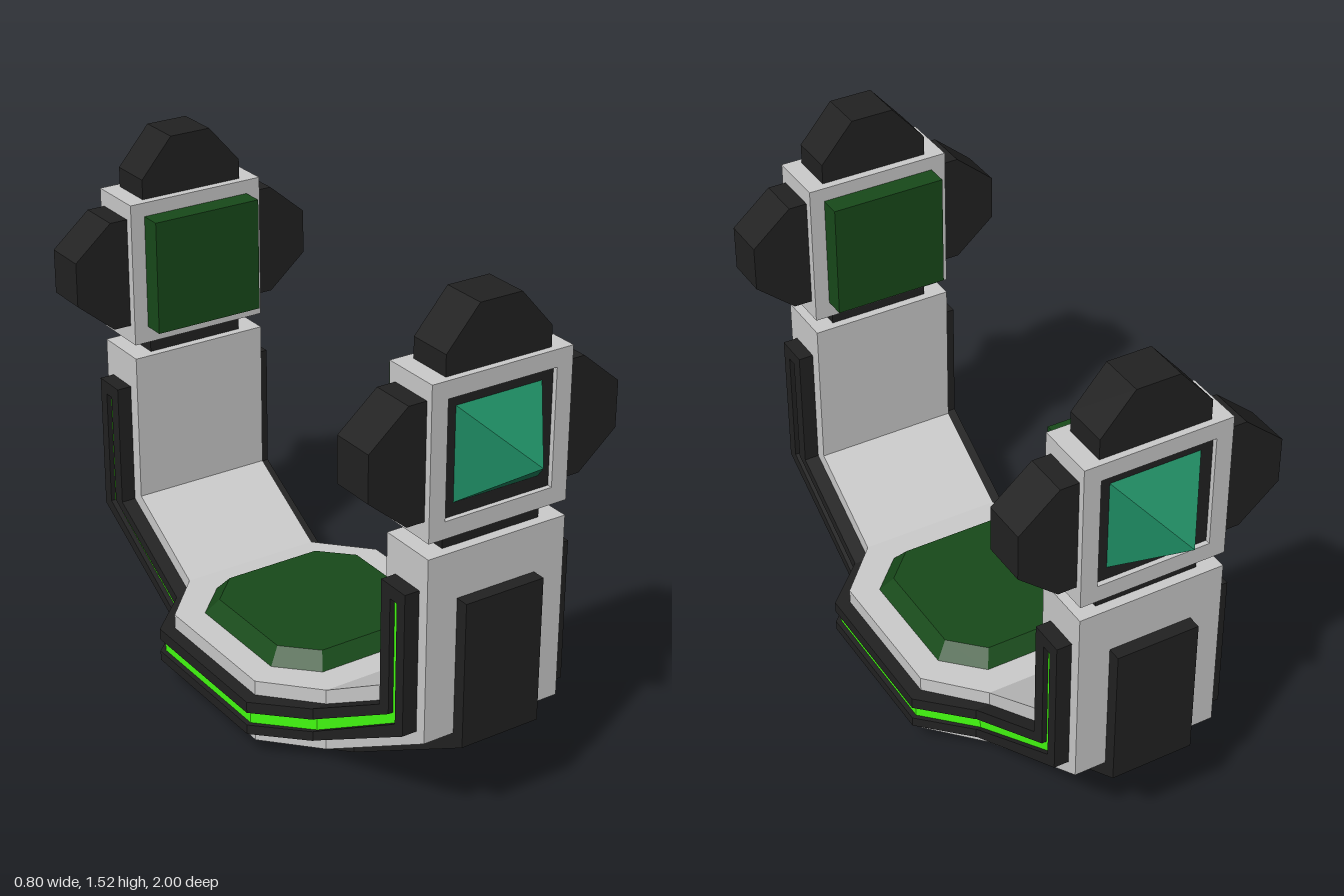
import * as THREE from 'three';

const material = (color) => new THREE.MeshStandardMaterial({ color, flatShading: true });

export function createModel() {
  const grey = material(0xcccccc);
  const black = material(0x222222);
  const green = material(0x184a1a);
  const lime = material(0x44ff11);
  const teal = material(0x1c8860);

  const add = (parent, name, geometry, mat) => {
    const mesh = new THREE.Mesh(geometry, mat);
    mesh.name = name;
    parent.add(mesh);
    return mesh;
  };

  const toShape = (points) => new THREE.Shape(points.map(([a, b]) => new THREE.Vector2(a, b)));
  const extrude = (shape, depth) => new THREE.ExtrudeGeometry(shape, { depth, bevelEnabled: false });

  // Profile given as [z, y], extruded across x from x0 to x1
  const sideProfile = (points, x0, x1) =>
    extrude(toShape(points), x1 - x0).rotateY(-Math.PI / 2).translate(x1, 0, 0);

  // Profile given as [x, y], extruded along z from z0 to z1
  const frontProfile = (points, z0, z1) => extrude(toShape(points), z1 - z0).translate(0, 0, z0);

  // Horizontal octagon: half width w, half length l, corner cut from (w, lz) to (wx, l)
  const octagon = (w, l, wx, lz, y0, y1) =>
    extrude(toShape([[w, -lz], [w, lz], [wx, l], [-wx, l], [-w, lz], [-w, -lz], [-wx, -l], [wx, -l]]), y1 - y0)
      .rotateX(-Math.PI / 2).translate(0, y0, 0);

  const box = (x, y0, y1, z0, z1) =>
    new THREE.BoxGeometry(2 * x, y1 - y0, z1 - z0).translate(0, (y0 + y1) / 2, (z0 + z1) / 2);

  const model = new THREE.Group();
  model.name = 'cradle';

  // Base: stacked octagons with a glowing groove around the rim
  const base = new THREE.Group();
  base.name = 'base';
  model.add(base);
  add(base, 'baseBody', octagon(0.36, 0.37, 0.22, 0.22, 0.045, 0.24), grey);
  add(base, 'bottomPlate', octagon(0.25, 0.37, 0.125, 0.24, 0, 0.046), black);
  add(base, 'lowerRim', octagon(0.4, 0.372, 0.265, 0.24, 0.09, 0.12), black);
  add(base, 'upperRim', octagon(0.4, 0.372, 0.265, 0.24, 0.16, 0.195), black);
  add(base, 'rimLight', octagon(0.385, 0.37, 0.25, 0.235, 0.119, 0.161), lime);

  // Pad with a sloped edge
  const pad = octagon(0.28, 0.285, 0.175, 0.18, 0.24, 0.285);
  const pos = pad.attributes.position;
  for (let i = 0; i < pos.count; i++) {
    if (pos.getY(i) > 0.26) {
      pos.setX(i, pos.getX(i) * 0.87);
      pos.setZ(i, pos.getZ(i) * 0.87);
    }
  }
  pad.computeVertexNormals();
  add(base, 'pad', pad, green);

  // One arm with its head, built toward +z
  const buildArm = () => {
    const arm = new THREE.Group();
    add(arm, 'armBody', sideProfile(
      [[0.37, 0.045], [0.83, 0.315], [0.83, 0.865], [0.65, 0.865], [0.65, 0.405], [0.37, 0.24]], -0.22, 0.22), grey);
    add(arm, 'armOuterPlate', sideProfile(
      [[0.37, 0], [0.87, 0.29], [0.87, 0.725], [0.82, 0.725], [0.82, 0.32], [0.37, 0.055]], -0.125, 0.125), black);

    // Grooved side bands with a light strip in the groove
    const band = [[0.37, 0.09], [0.795, 0.335], [0.795, 0.76], [0.69, 0.76], [0.69, 0.38], [0.37, 0.195],
      [0.37, 0.16], [0.73, 0.37], [0.73, 0.72], [0.76, 0.72], [0.76, 0.355], [0.37, 0.12]];
    const strip = [[0.37, 0.12], [0.76, 0.355], [0.76, 0.72], [0.73, 0.72], [0.73, 0.37], [0.37, 0.16]];
    for (const [side, s] of [['left', 1], ['right', -1]]) {
      const range = (a, b) => (s > 0 ? [a, b] : [-b, -a]);
      add(arm, side + 'Band', sideProfile(band, ...range(0.215, 0.265)), black);
      add(arm, side + 'LightStrip', sideProfile(strip, ...range(0.215, 0.25)), lime);
    }

    add(arm, 'neck', box(0.155, 0.86, 0.915, 0.675, 0.8), black);

    // Head: block with a recessed window holding a pyramid gem
    const head = new THREE.Group();
    head.name = 'head';
    arm.add(head);
    const frame = toShape([[-0.22, 0.91], [0.22, 0.91], [0.22, 1.35], [-0.22, 1.35]]);
    frame.holes.push(toShape([[-0.17, 0.96], [-0.17, 1.3], [0.17, 1.3], [0.17, 0.96]]));
    add(head, 'headFrame', extrude(frame, 0.18).translate(0, 0, 0.65), grey);
    add(head, 'gemSocket', box(0.17, 0.96, 1.3, 0.66, 0.815), black);
    add(head, 'gem', new THREE.ConeGeometry(0.135 * Math.SQRT2, 0.185, 4)
      .rotateY(Math.PI / 4).rotateX(Math.PI / 2).translate(0, 1.133, 0.9075), teal);
    add(head, 'innerPanel', box(0.175, 0.96, 1.308, 0.585, 0.665), green);

    // Tapered fins on the top and both sides
    add(head, 'topFin', frontProfile(
      [[-0.165, 1.34], [0.165, 1.34], [0.165, 1.41], [0.065, 1.525], [-0.065, 1.525], [-0.165, 1.41]],
      0.675, 0.81), black);
    const fin = [[0.21, 0.965], [0.275, 0.965], [0.393, 1.065], [0.393, 1.2], [0.275, 1.3], [0.21, 1.3]];
    add(head, 'leftFin', frontProfile(fin, 0.675, 0.81), black);
    add(head, 'rightFin', frontProfile(fin.map(([x, y]) => [-x, y]).reverse(), 0.675, 0.81), black);
    return arm;
  };

  const front = buildArm();
  front.name = 'frontArm';
  const back = buildArm();
  back.name = 'backArm';
  back.rotation.y = Math.PI;
  model.add(front, back);
  return model;
}
